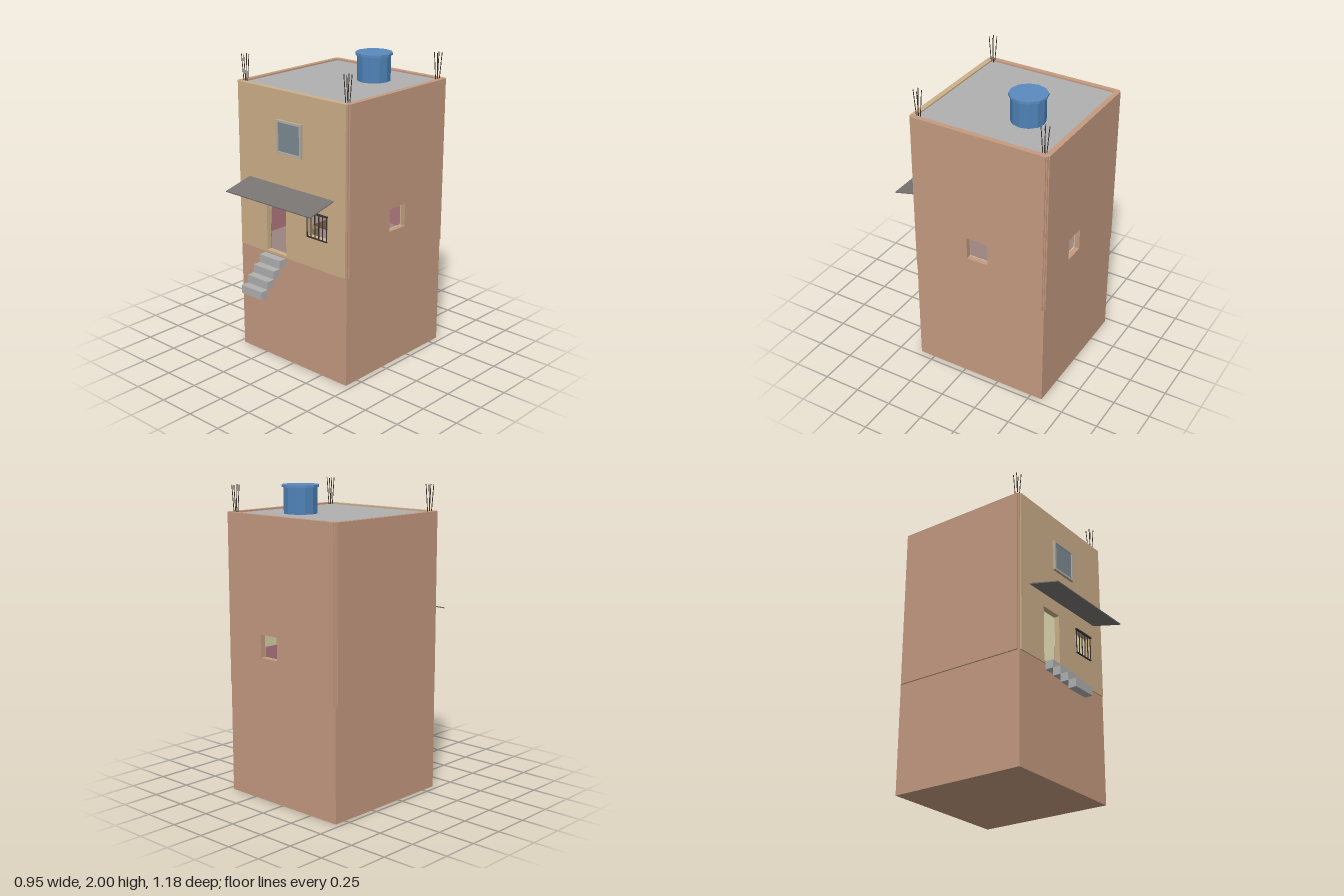
import * as THREE from 'three';

const BRICK = 0xc49a80, PLASTER = 0xcdb08a, CREAM = 0xd6d0a8, PINK = 0xb07880;
const CONCRETE = 0xb0b0b0, IRON = 0x3a332e;

const paint = (color) => new THREE.MeshStandardMaterial({ color, flatShading: true });

function add(group, name, geometry, color, x = 0, y = 0, z = 0) {
  const mesh = new THREE.Mesh(geometry, paint(color));
  mesh.name = name;
  mesh.position.set(x, y, z);
  group.add(mesh);
  return mesh;
}

// Box given by its lowest and highest corners
function block(group, name, color, [x0, y0, z0], [x1, y1, z1]) {
  return add(group, name, new THREE.BoxGeometry(x1 - x0, y1 - y0, z1 - z0), color,
    (x0 + x1) / 2, (y0 + y1) / 2, (z0 + z1) / 2);
}

function rectangle(target, u0, u1, v0, v1) {
  target.moveTo(u0, v0);
  target.lineTo(u1, v0);
  target.lineTo(u1, v1);
  target.lineTo(u0, v1);
  target.closePath();
  return target;
}

// Upright slab with rectangular openings
function panelGeometry(outline, openings, depth) {
  const shape = rectangle(new THREE.Shape(), ...outline);
  for (const o of openings) shape.holes.push(rectangle(new THREE.Path(), ...o));
  return new THREE.ExtrudeGeometry(shape, { depth, bevelEnabled: false });
}

// Straight rod between two points
function rod(group, name, a, b, radius) {
  const dir = b.clone().sub(a);
  const mesh = add(group, name, new THREE.CylinderGeometry(radius, radius, dir.length(), 5), IRON);
  mesh.position.copy(a).add(b).multiplyScalar(0.5);
  mesh.quaternion.setFromUnitVectors(new THREE.Vector3(0, 1, 0), dir.normalize());
}

export function createModel() {
  const house = new THREE.Group();
  house.name = 'house';

  // Solid lower block and room floor
  block(house, 'base', BRICK, [-0.465, 0, -0.582], [0.462, 0.735, 0.354]);
  block(house, 'floor', 0x9a8480, [-0.44, 0.735, -0.555], [0.44, 0.75, 0.327]);

  // Outer walls with a two-tone painted lining inside
  const door = [-0.217, -0.046, 0.75, 1.12];
  const frontWindow = [0.143, 0.312, 0.937, 1.1];
  const sideWindow = [-0.187, -0.037, 0.937, 1.087];
  const backWindow = [0.025, 0.17, 0.937, 1.087];
  const walls = [
    { name: 'front', color: PLASTER, span: [-0.457, 0.457], inner: [-0.435, 0.435], holes: [door, frontWindow],
      at: [0, 0.327], lining: [0, 0.322], turn: 0 },
    { name: 'back', color: BRICK, span: [-0.457, 0.457], inner: [-0.435, 0.435], holes: [backWindow],
      at: [0, -0.59], lining: [0, -0.555], turn: 0 },
    { name: 'left', color: BRICK, span: [-0.573, 0.343], inner: [-0.555, 0.327], holes: [sideWindow],
      at: [0.475, 0], lining: [0.44, 0], turn: -Math.PI / 2 },
    { name: 'right', color: BRICK, span: [-0.573, 0.343], inner: [-0.555, 0.327], holes: [],
      at: [-0.44, 0], lining: [-0.435, 0], turn: -Math.PI / 2 },
  ];
  for (const w of walls) {
    const outer = add(house, w.name + 'Wall', panelGeometry([...w.span, 0.735, 1.83], w.holes, 0.035),
      w.color, w.at[0], 0, w.at[1]);
    outer.rotation.y = w.turn;
    const inside = new THREE.Group();
    inside.name = w.name + 'WallPaint';
    inside.position.set(w.lining[0], 0, w.lining[1]);
    inside.rotation.y = w.turn;
    house.add(inside);
    for (const [name, color, y0, y1] of [['lowerPaint', PINK, 0.75, 0.92], ['upperPaint', CREAM, 0.92, 1.79]]) {
      // The doorway splits the front lining into separate strips
      const strips = w.name === 'front'
        ? [[w.inner[0], door[0], y0, y1], [door[1], w.inner[1], y0, y1]]
        : [[...w.inner, y0, y1]];
      if (w.name === 'front' && y1 > door[3]) strips.push([door[0], door[1], door[3], y1]);
      for (const s of strips) {
        const openings = w.holes.filter((o) => o[0] > s[0] && o[1] < s[1] && o[2] > y0 && o[3] < y1);
        add(inside, name, panelGeometry(s, openings, 0.005), color);
      }
    }
  }

  // Corner columns
  for (const x of [-0.45, 0.45]) {
    for (const z of [-0.566, 0.338]) {
      block(house, 'cornerColumn', BRICK, [x - 0.016, 0.735, z - 0.016], [x + 0.016, 1.83, z + 0.016]);
    }
  }

  // Roof slab just below the wall tops
  block(house, 'roof', CONCRETE, [-0.44, 1.79, -0.555], [0.44, 1.82, 0.327]);

  // Twelve-sided water tank with lid
  const tank = new THREE.Group();
  tank.name = 'waterTank';
  tank.position.set(0.132, 0, -0.268);
  house.add(tank);
  add(tank, 'tankBody', new THREE.CylinderGeometry(0.109, 0.109, 0.165, 12), 0x4f82b8, 0, 1.9025, 0);
  add(tank, 'tankLid', new THREE.CylinderGeometry(0.12, 0.12, 0.015, 12), 0x5a8abf, 0, 1.9925, 0);

  // Bundles of bare reinforcing rods on three corners
  for (const [x, z] of [[-0.433, 0.315], [0.43, 0.315], [0.43, -0.543]]) {
    for (let i = 0; i < 4; i++) {
      const a = Math.PI / 4 + i * Math.PI / 2;
      const c = Math.cos(a), s = Math.sin(a);
      rod(house, 'reinforcingRod', new THREE.Vector3(x + 0.011 * c, 1.81, z + 0.011 * s),
        new THREE.Vector3(x + 0.025 * Math.cos(a + 0.35), 1.998, z + 0.025 * Math.sin(a + 0.35)), 0.0027);
    }
  }

  // Upper window
  const frame = [-0.106, 0.106, 1.43, 1.645];
  add(house, 'upperWindowFrame', panelGeometry(frame, [[-0.092, 0.092, 1.444, 1.631]], 0.019),
    0xb8b0a0, 0, 0, 0.361);
  block(house, 'upperWindowGlass', 0x7d8a92, [-0.092, 1.444, 0.36], [0.092, 1.631, 0.372]);

  // Barred window grille
  for (let i = 0; i < 6; i++) {
    const x = 0.145 + i * 0.0328;
    block(house, 'windowBar', IRON, [x - 0.0025, 0.937, 0.365], [x + 0.0025, 1.102, 0.37]);
  }
  block(house, 'grilleTopRail', IRON, [0.138, 1.097, 0.361], [0.316, 1.106, 0.375]);
  block(house, 'grilleBottomRail', IRON, [0.143, 0.935, 0.361], [0.312, 0.94, 0.373]);

  // Sloping awning
  const awning = add(house, 'awning', new THREE.BoxGeometry(0.73, 0.007, 0.216), 0x777472, -0.002, 1.19, 0.466);
  awning.rotation.x = Math.atan2(0.05, 0.21);

  // Entrance steps
  for (let i = 0; i < 4; i++) {
    const y = 0.735 - i * 0.0545, z = 0.374 + i * 0.0545;
    block(house, 'step', CONCRETE, [-0.223, y - 0.0545, z], [-0.042, y, z + 0.0545]);
  }

  // Table and stool inside the room
  const wood = 0x6b4a3c;
  block(house, 'tableTop', wood, [-0.2, 0.805, -0.2], [0.05, 0.813, -0.05]);
  for (const x of [-0.195, 0.045]) {
    for (const z of [-0.195, -0.055]) {
      block(house, 'tableLeg', wood, [x - 0.005, 0.75, z - 0.005], [x + 0.005, 0.805, z + 0.005]);
    }
  }
  block(house, 'stool', 0x8a7a5c, [-0.18, 0.75, -0.03], [-0.12, 0.82, 0.03]);

  return house;
}
